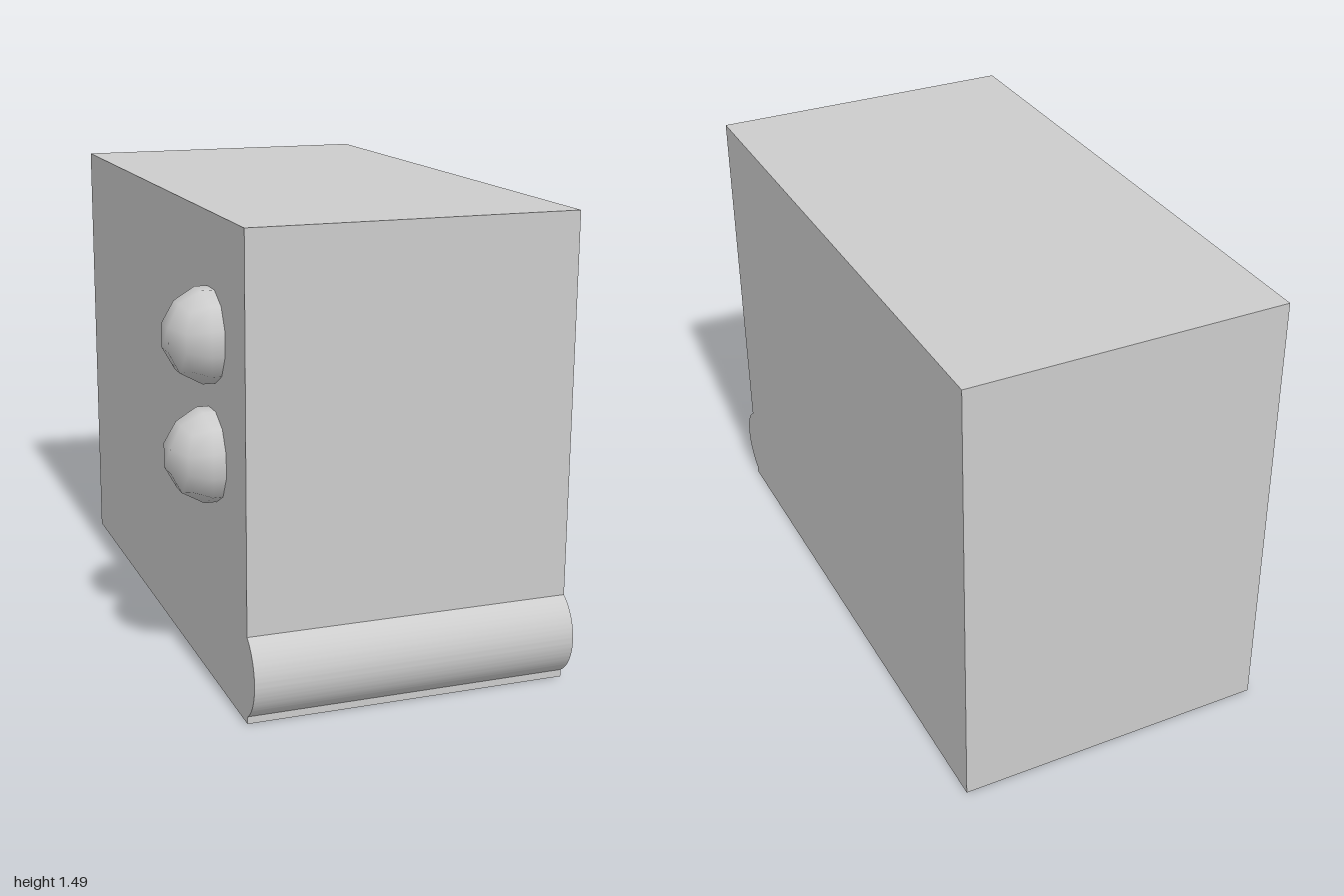
import * as THREE from 'three';
import { toCreasedNormals } from 'three/addons/utils/BufferGeometryUtils.js';

const X0 = -0.45, X1 = 0.593, TOP = 1.488, BACK = -1, FRONT = 0.93;

// Sphere made from a 3x3x3 divided cube, with smooth normals
function cubeSphere(radius) {
  const geo = new THREE.BoxGeometry(2, 2, 2, 3, 3, 3);
  const pos = geo.attributes.position, nor = geo.attributes.normal;
  const v = new THREE.Vector3();
  const even = (c) => Math.tan(c * Math.PI / 4); // equal angles along each edge
  for (let i = 0; i < pos.count; i++) {
    v.fromBufferAttribute(pos, i);
    v.set(even(v.x), even(v.y), even(v.z)).normalize();
    nor.setXYZ(i, v.x, v.y, v.z);
    pos.setXYZ(i, v.x * radius, v.y * radius, v.z * radius);
  }
  return geo;
}

export function createModel() {
  const model = new THREE.Group();
  model.name = 'cabinet';
  const grey = new THREE.MeshStandardMaterial({ color: 0xcccccc });
  grey.name = 'light grey';

  const add = (name, geo, x, y, z) => {
    const mesh = new THREE.Mesh(geo, grey);
    mesh.name = name;
    mesh.position.set(x, y, z);
    model.add(mesh);
    return mesh;
  };

  // Main block
  add('body', new THREE.BoxGeometry(X1 - X0, TOP, FRONT - BACK),
    (X0 + X1) / 2, TOP / 2, (FRONT + BACK) / 2);

  // Rounded bar along the bottom of the front: a circular segment, extruded across
  const r = 0.15, axisZ = 0.85, half = Math.acos((FRONT - axisZ) / r);
  const segment = new THREE.Shape();
  segment.absarc(0, 0, r, -half, half, false);
  segment.closePath();
  const bar = new THREE.ExtrudeGeometry(segment, { depth: X1 - X0, bevelEnabled: false, curveSegments: 24 });
  bar.rotateY(-Math.PI / 2); // shape x becomes +z, depth runs towards -x
  add('frontBar', toCreasedNormals(bar, 0.5), X1, 0.15, axisZ);

  // Two domed knobs on the right side
  [['lowerKnob', 0.745], ['upperKnob', 1.118]].forEach(([name, y]) =>
    add(name, cubeSphere(0.152), X0 - 0.001, y, 0.596));

  return model;
}
